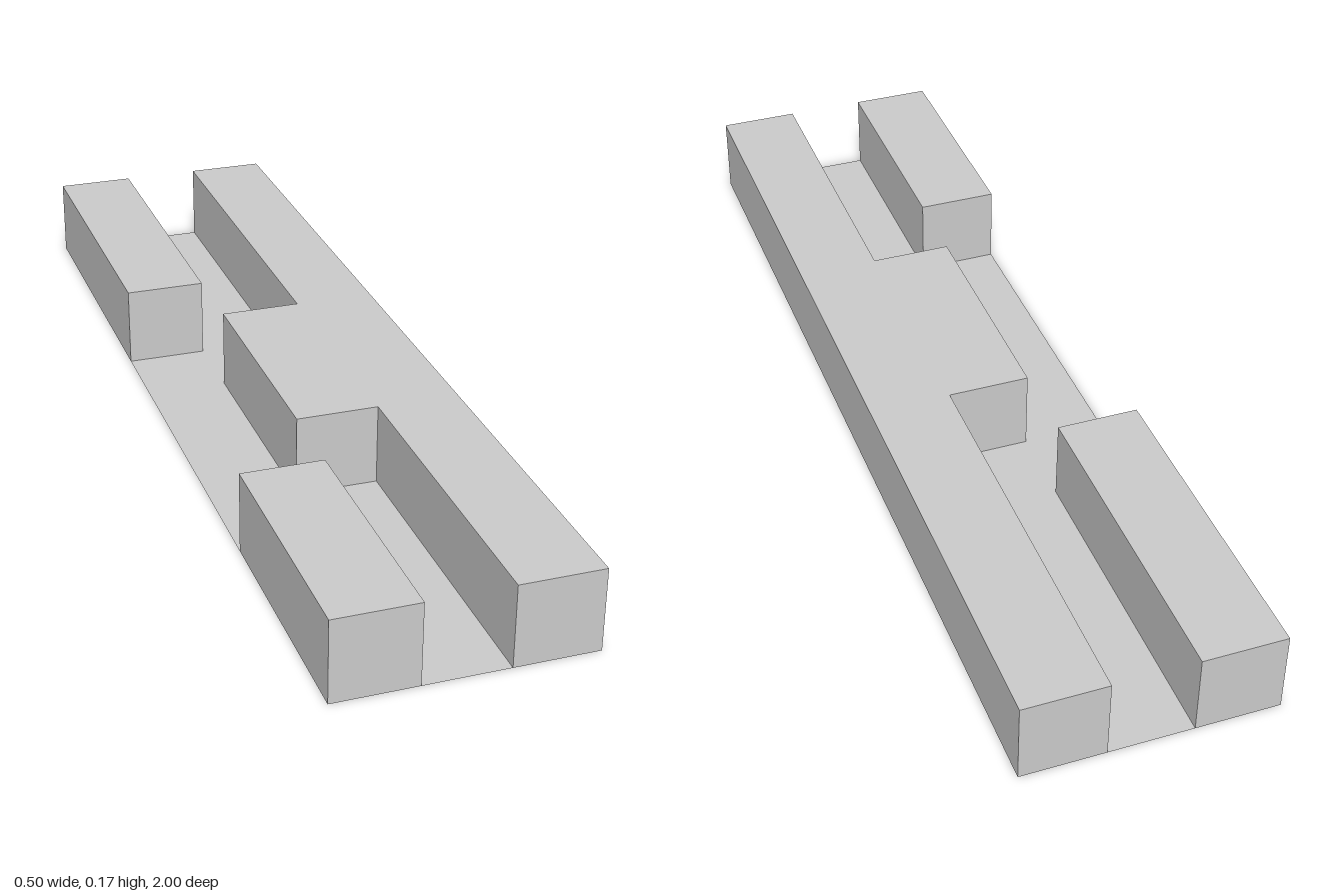
import * as THREE from 'three';

const W = 0.25, S = 1 / 12, H = 1 / 6; // half width, half channel width, height

// Outline from [x, z] points, drawn so that rotating by -90 degrees lays it flat
const outline = (points) => new THREE.Shape(points.map(([x, z]) => new THREE.Vector2(x, -z)));

export function createModel() {
  const group = new THREE.Group();
  const grey = new THREE.MeshStandardMaterial({ color: 0xcccccc, flatShading: true });
  const sheet = new THREE.MeshStandardMaterial({ color: 0xcccccc, flatShading: true, side: THREE.DoubleSide });

  const add = (name, geometry, material = grey) => {
    const mesh = new THREE.Mesh(geometry, material);
    mesh.name = name;
    group.add(mesh);
    return mesh;
  };

  // Full-length rail with a tab reaching across the channel
  add('railWithTab', new THREE.ExtrudeGeometry(outline([
    [W, 1], [W, -1], [S, -1], [S, -1 / 6], [-S, -1 / 6], [-S, 1 / 3], [S, 1 / 3], [S, 1],
  ]), { depth: H, bevelEnabled: false }).rotateX(-Math.PI / 2));

  // Two separate blocks on the opposite edge
  for (const [name, z0, z1] of [['frontBlock', 0.5, 1], ['backBlock', -1, -1 / 3]]) {
    add(name, new THREE.BoxGeometry(W - S, H, z1 - z0))
      .position.set(-(W + S) / 2, H / 2, (z0 + z1) / 2);
  }

  // Thin floor of the winding channel between them
  add('channelFloor', new THREE.ShapeGeometry(outline([
    [-S, 1], [S, 1], [S, 1 / 3], [-S, 1 / 3], [-S, -1 / 6], [S, -1 / 6], [S, -1],
    [-S, -1], [-S, -1 / 3], [-W, -1 / 3], [-W, 0.5], [-S, 0.5],
  ])).rotateX(-Math.PI / 2), sheet);

  return group;
}
